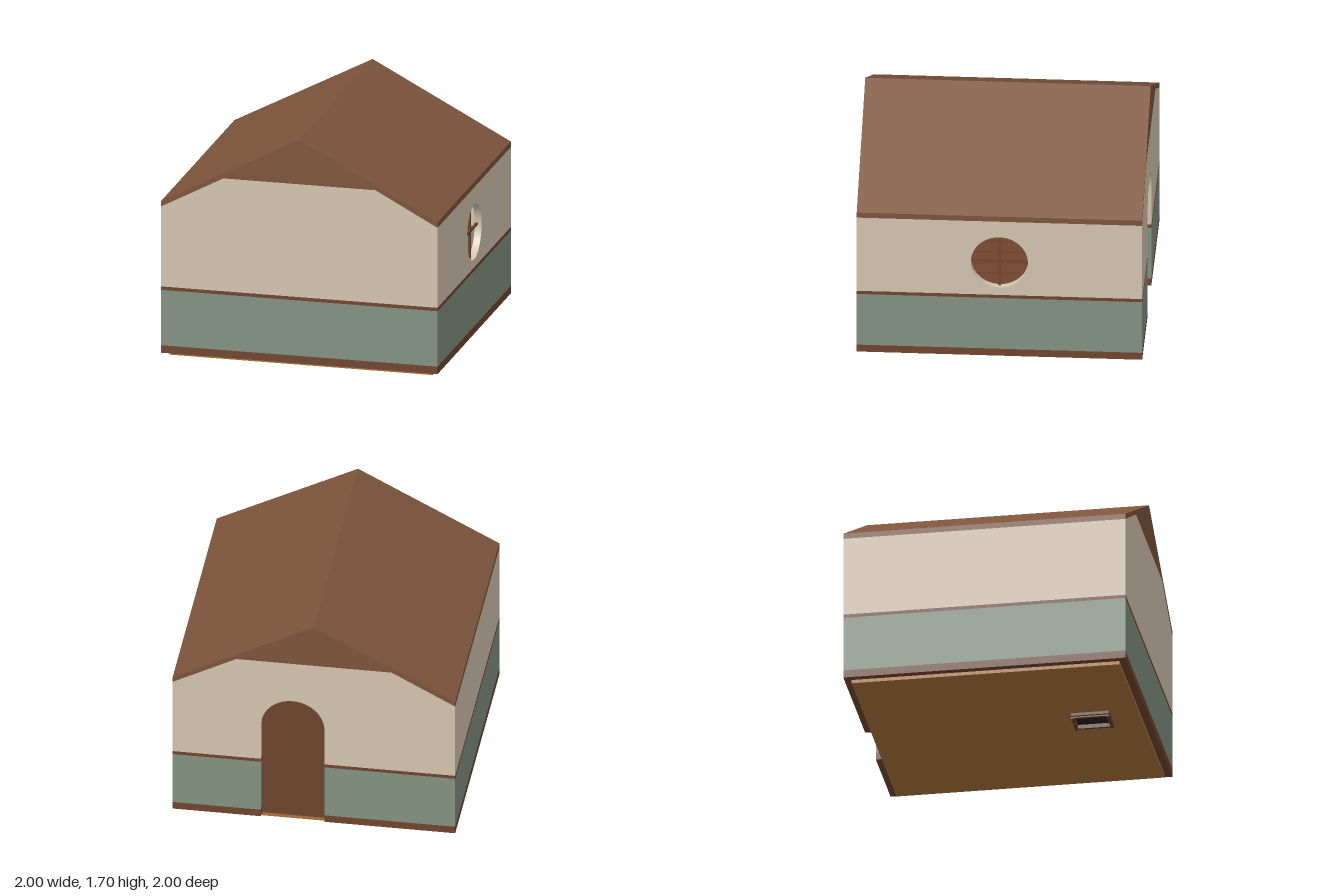
import * as THREE from 'three';

const mat = (color) => new THREE.MeshStandardMaterial({ color });
const cream = mat(0xd4c4b0), green = mat(0x839181), trim = mat(0x70452e);
const roofBrown = mat(0x7d543b), gold = mat(0xab7439), doorBrown = mat(0x6e442d);
const hatchBrown = mat(0x64402e), dark = mat(0x2a1d18), pale = mat(0xdcdad4);

const T = 0.05; // wall thickness
const DOOR = { x: 0.15, r: 0.225, spring: 0.835 };
const WINDOW = { y: 0.81, r: 0.2 };
const EAVE = 1.135, BASE = 0.065;
// colour courses of the walls below the plaster
const COURSES = [
  ['baseBoard', BASE, 0.12, trim],
  ['lowerPanel', 0.12, 0.525, green],
  ['railBand', 0.525, 0.55, trim],
];

function add(parent, name, geometry, material, x = 0, y = 0, z = 0) {
  const mesh = new THREE.Mesh(geometry, material);
  mesh.name = name;
  mesh.position.set(x, y, z);
  parent.add(mesh);
  return mesh;
}

// box given by its minimum and maximum corners
function block(parent, name, material, x0, x1, y0, y1, z0, z1) {
  return add(parent, name, new THREE.BoxGeometry(x1 - x0, y1 - y0, z1 - z0), material,
    (x0 + x1) / 2, (y0 + y1) / 2, (z0 + z1) / 2);
}

const polygon = (pts) => new THREE.Shape(pts.map(([x, y]) => new THREE.Vector2(x, y)));
const extrude = (shape, depth) =>
  new THREE.ExtrudeGeometry(shape, { depth, bevelEnabled: false, curveSegments: 40 });

// gable wall, optionally with the arched doorway cut out
function gableWall(name, z, hasDoor) {
  const wall = new THREE.Group();
  wall.name = name;
  const left = DOOR.x - DOOR.r, right = DOOR.x + DOOR.r;
  const spans = hasDoor ? [[-1, left], [right, 1]] : [[-1, 1]];
  for (const [part, y0, y1, m] of COURSES)
    for (const [x0, x1] of spans) block(wall, part, m, x0, x1, y0, y1, z, z + T);

  const plaster = new THREE.Shape();
  plaster.moveTo(-1, 0.55);
  if (hasDoor) {
    plaster.lineTo(left, 0.55);
    plaster.lineTo(left, DOOR.spring);
    plaster.absarc(DOOR.x, DOOR.spring, DOOR.r, Math.PI, 0, true);
    plaster.lineTo(right, 0.55);
  }
  for (const [x, y] of [[1, 0.55], [1, EAVE], [0.55, 1.375], [-0.55, 1.375], [-1, EAVE]])
    plaster.lineTo(x, y);
  add(wall, 'upperWall', extrude(plaster, T), cream, 0, 0, z);
  return wall;
}

// side wall, optionally with the round window
function sideWall(name, x, hasWindow) {
  const wall = new THREE.Group();
  wall.name = name;
  const w = 1 - T;
  for (const [part, y0, y1, m] of COURSES) block(wall, part, m, x, x + T, y0, y1, -w, w);
  const plaster = polygon([[-w, 0.55], [w, 0.55], [w, EAVE], [-w, EAVE]]);
  if (hasWindow) {
    const hole = new THREE.Path();
    hole.absarc(0, WINDOW.y, WINDOW.r, 0, Math.PI * 2, true);
    plaster.holes.push(hole);
    // crossed window bars
    const c = x + 0.015, h = 0.008;
    block(wall, 'windowBar', trim, c - h, c + h, WINDOW.y - WINDOW.r, WINDOW.y + WINDOW.r, -h, h);
    block(wall, 'windowBar', trim, c - h, c + h, WINDOW.y - h, WINDOW.y + h, -WINDOW.r, WINDOW.r);
  }
  add(wall, 'upperWall', extrude(plaster, T), cream, x).rotation.y = Math.PI / 2;
  return wall;
}

export function createModel() {
  const house = new THREE.Group();
  house.name = 'house';

  house.add(gableWall('frontWall', 1 - T, false), gableWall('backWall', -1, true));
  house.add(sideWall('leftWall', 1 - T, true), sideWall('rightWall', -1, false));

  // solid roof with a flat ceiling between the sloped eaves
  const roof = polygon([[-1, EAVE], [-0.55, 1.375], [0.55, 1.375], [1, EAVE],
    [1, 1.175], [0, 1.7], [-1, 1.175]]);
  add(house, 'roof', extrude(roof, 2), roofBrown, 0, 0, -1);

  // arched door, set back in the doorway
  const door = new THREE.Shape();
  door.moveTo(DOOR.x - DOOR.r, BASE);
  door.lineTo(DOOR.x + DOOR.r, BASE);
  door.lineTo(DOOR.x + DOOR.r, DOOR.spring);
  door.absarc(DOOR.x, DOOR.spring, DOOR.r, 0, Math.PI, false);
  add(house, 'door', extrude(door, 0.025), doorBrown, 0, 0, -1 + T);

  // floor slab with boards on top
  block(house, 'floorSlab', gold, -0.95, 0.95, 0.04, 0.068, -0.95, 0.95);
  for (let i = 0; i < 12; i++) {
    const x = -0.92 + i * 0.1535;
    block(house, 'floorBoard', trim, x, x + 0.14, 0.068, 0.08, -0.92, 0.92);
  }

  // ceiling beams and a pale board on the inner wall
  for (const z of [-0.6, -0.2, 0.2, 0.6])
    block(house, 'ceilingBeam', trim, -0.6, 0.6, 1.31, 1.375, z - 0.035, z + 0.035);
  block(house, 'wallBoard', pale, -0.95, -0.935, 0.715, 1.1, -0.4, 0.03);

  // hatch frame hanging under the floor
  const hatch = new THREE.Group();
  hatch.name = 'floorHatch';
  block(hatch, 'hatchOpening', dark, -0.19, -0.01, 0.034, 0.041, 0.5, 0.73);
  for (const [x0, x1] of [[-0.2, -0.18], [-0.02, 0]])
    block(hatch, 'hatchSide', hatchBrown, x0, x1, 0.005, 0.04, 0.49, 0.74);
  for (const [z0, z1] of [[0.48, 0.5], [0.73, 0.75]]) {
    block(hatch, 'hatchEnd', hatchBrown, -0.2, 0, 0, 0.04, z0, z1);
    block(hatch, 'hatchLip', hatchBrown, -0.215, 0.012, 0.015, 0.036, z0 + 0.002, z1 - 0.002);
  }
  for (const [x0, x1] of [[-0.215, -0.2], [0, 0.012]])
    block(hatch, 'hatchLip', hatchBrown, x0, x1, 0.015, 0.036, 0.49, 0.74);
  house.add(hatch);

  return house;
}
